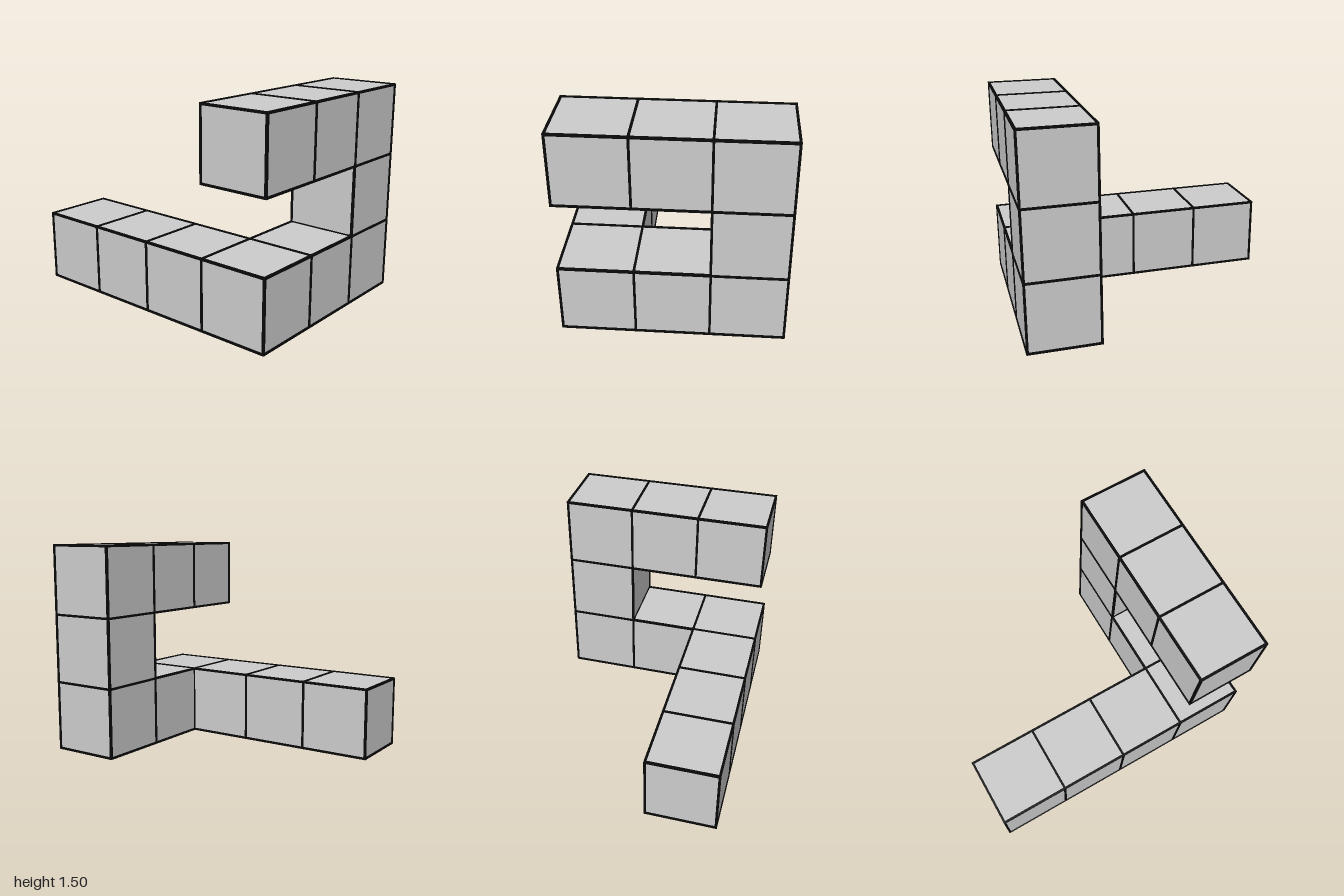
import * as THREE from 'three';

const S = 0.496;  // cube size
const T = 0.016;  // thickness of the dark edge bars

// Grid cells of the bent chain of cubes: column, level, depth (2 is the front)
const CELLS = [
  [0, 0, 2], [1, 0, 2], [2, 0, 2], [3, 0, 2], // front row
  [3, 0, 1], [3, 0, 0],                       // lower arm going back
  [3, 1, 0], [3, 2, 0],                       // column at the back
  [3, 2, 1], [3, 2, 2],                       // upper arm coming forward
];

// Grid coordinates to model space
const place = (i, j, k) => new THREE.Vector3((i - 2) * S, j * S + T / 2, (k - 1.5) * S);

export function createModel() {
  const model = new THREE.Group();
  model.name = 'cubeChain';
  const grey = new THREE.MeshStandardMaterial({ color: 0xcccccc });
  const black = new THREE.MeshStandardMaterial({ color: 0x080808 });

  const cubes = new THREE.Group();
  cubes.name = 'cubes';
  const edges = new THREE.Group();
  edges.name = 'edgeBars';
  model.add(cubes, edges);

  const cubeGeometry = new THREE.BoxGeometry(S, S, S);
  // One bar geometry along each axis
  const barGeometries = [0, 1, 2].map((axis) =>
    new THREE.BoxGeometry(...[0, 1, 2].map((a) => (a === axis ? S + T : T))));
  const seen = new Set();

  for (const cell of CELLS) {
    const cube = new THREE.Mesh(cubeGeometry, grey);
    cube.name = 'cube';
    cube.position.copy(place(...cell.map((c) => c + 0.5)));
    cubes.add(cube);

    // Twelve edges per cube, shared ones built once
    for (let axis = 0; axis < 3; axis++) {
      for (const u of [0, 1]) for (const v of [0, 1]) {
        const mid = [...cell];
        mid[axis] += 0.5;
        mid[(axis + 1) % 3] += u;
        mid[(axis + 2) % 3] += v;
        const key = mid.join();
        if (seen.has(key)) continue;
        seen.add(key);
        const bar = new THREE.Mesh(barGeometries[axis], black);
        bar.name = 'edgeBar';
        bar.position.copy(place(...mid));
        edges.add(bar);
      }
    }
  }
  return model;
}
